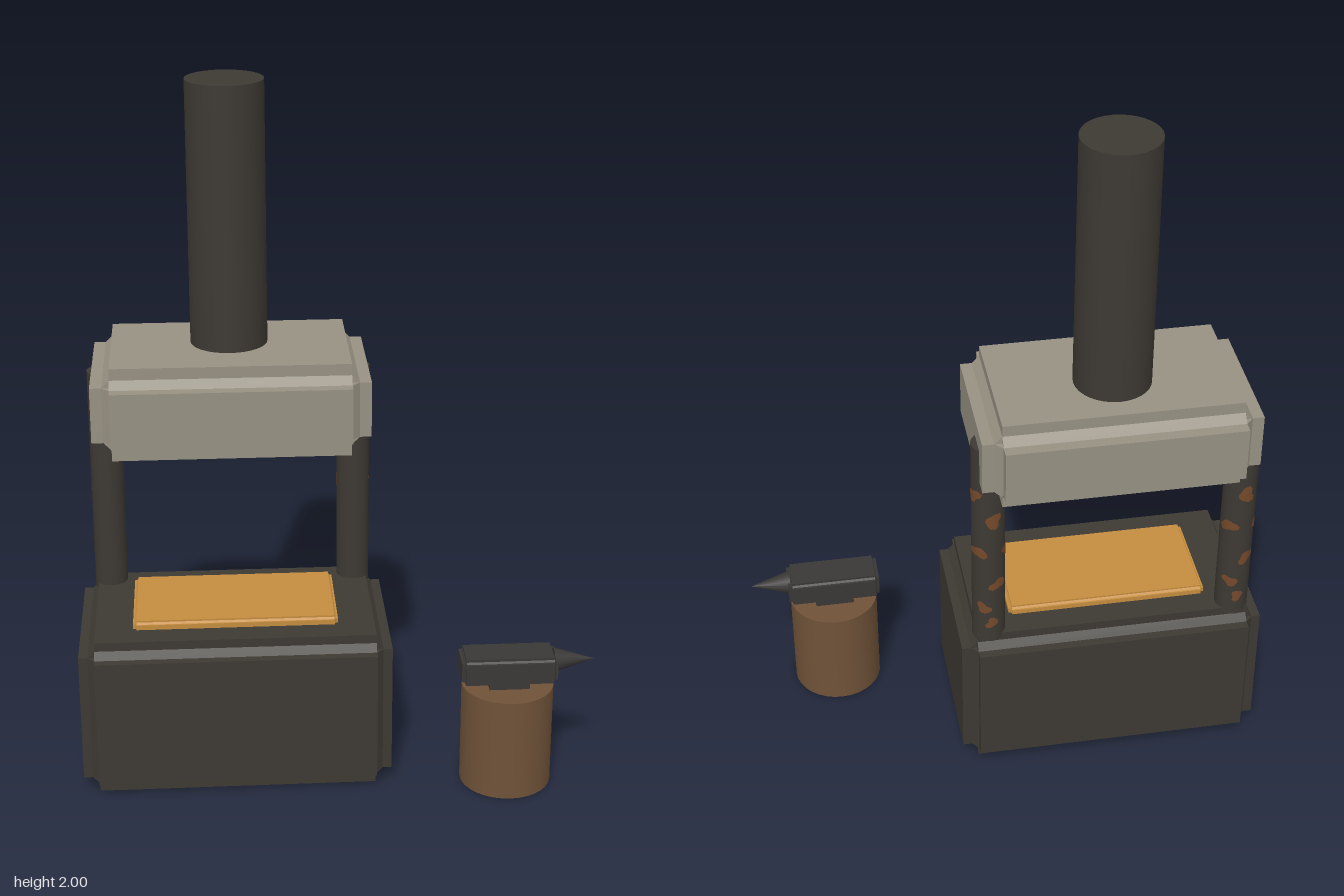
import * as THREE from 'three';
import { mergeGeometries } from 'three/addons/utils/BufferGeometryUtils.js';

const mat = (name, color, side = THREE.FrontSide) => {
  const m = new THREE.MeshStandardMaterial({ color, side });
  m.name = name;
  return m;
};

// Cross-shaped outline: a rectangle with notched, slightly filled corners
function notchedShape(w, h, b, c) {
  const X = w / 2, Y = h / 2, x = X - b, y = Y - b;
  const corner = [[X, y], [x + c, y], [x, y + c], [x, Y]];
  const pts = [];
  for (const [sx, sy] of [[1, 1], [-1, 1], [-1, -1], [1, -1]]) {
    const list = sx * sy > 0 ? corner : [...corner].reverse();
    for (const [px, py] of list) pts.push(new THREE.Vector2(px * sx, py * sy));
  }
  return new THREE.Shape(pts);
}

// Block with a raised panel on each face and grooves along every edge
function panelledBlock(w, h, d, b, c) {
  const prism = (a, e, depth) => new THREE.ExtrudeGeometry(notchedShape(a, e, b, c),
    { depth: depth - 2 * b, bevelEnabled: false }).translate(0, 0, b - depth / 2);
  return mergeGeometries([
    prism(w, h, d),
    prism(w, d, h).rotateX(-Math.PI / 2),
    prism(d, h, w).rotateY(Math.PI / 2),
  ]);
}

// Irregular patch wrapped around an upright cylinder of radius r
function rustPatch(r, angle, y, size, seed) {
  const g = new THREE.RingGeometry(0.0001, 1, 14, 4);
  const p = g.attributes.position;
  for (let i = 0; i < p.count; i++) {
    const t = Math.atan2(p.getY(i), p.getX(i));
    const k = size * (1 + 0.25 * Math.sin(2 * t + seed) + 0.2 * Math.sin(3 * t + seed * 2.3));
    const a = angle + (p.getX(i) * k * 1.2) / r;
    p.setXYZ(i, Math.sin(a) * r, y + p.getY(i) * k, Math.cos(a) * r);
  }
  g.computeVertexNormals();
  return g;
}

export function createModel() {
  const group = new THREE.Group();
  group.name = 'forge';
  const iron = mat('dark iron', 0x3d3933);
  const stone = mat('grey stone', 0x979182);
  const ember = mat('ember orange', 0xc48c3e);
  const wood = mat('brown wood', 0x6f5238);
  const steel = mat('anvil steel', 0x3a3836);
  const rust = mat('rust', 0x74492a, THREE.DoubleSide);

  const add = (name, geo, material, x, y, z, parent = group) => {
    const m = new THREE.Mesh(geo, material);
    m.name = name;
    m.position.set(x, y, z);
    parent.add(m);
    return m;
  };

  // Hearth, embers, hood and chimney
  add('hearth', panelledBlock(0.89, 0.477, 0.55, 0.046, 0.02), iron, -0.295, 0.2385, -0.011);
  add('emberBed', panelledBlock(0.585, 0.05, 0.31, 0.01, 0.005), ember, -0.293, 0.476, -0.011);
  add('hood', panelledBlock(0.777, 0.271, 0.5, 0.055, 0.022), stone, -0.293, 1.115, -0.096);
  add('chimney', new THREE.CylinderGeometry(0.109, 0.109, 0.76, 32), iron, -0.293, 1.62, -0.122);

  // Hood posts with rust patches, mostly on the back: [angle, height, size]
  const patches = [
    [2.0, 0.98, 0.021], [2.35, 0.785, 0.021], [2.7, 0.585, 0.018],
    [3.3, 0.9, 0.022], [3.6, 0.67, 0.02], [3.9, 1.02, 0.018], [4.3, 0.78, 0.018], [3.2, 0.53, 0.016],
  ];
  for (const [name, x] of [['leftPost', 0.066], ['rightPost', -0.656]]) {
    const post = new THREE.Group();
    post.name = name;
    post.position.set(x, 0, -0.204);
    group.add(post);
    add('postShaft', new THREE.CylinderGeometry(0.048, 0.048, 0.68, 24), iron, 0, 0.8, 0, post);
    const geos = patches.map(([a, y, s], i) => rustPatch(0.0492, a, y, s, i * 1.7 + x));
    add('postRust', mergeGeometries(geos), rust, 0, 0, 0, post);
  }

  // Anvil on a wooden stump
  const anvil = new THREE.Group();
  anvil.name = 'anvil';
  anvil.position.set(0.483, 0, 0.208);
  group.add(anvil);
  add('stump', new THREE.CylinderGeometry(0.132, 0.132, 0.308, 32), wood, 0, 0.154, 0, anvil);
  add('anvilFoot', new THREE.BoxGeometry(0.115, 0.035, 0.095), steel, 0, 0.319, 0, anvil);
  add('anvilBody', panelledBlock(0.276, 0.082, 0.12, 0.012, 0.005), steel, 0, 0.365, 0, anvil);
  const horn = add('anvilHorn', new THREE.ConeGeometry(0.036, 0.118, 16), steel, 0.19, 0.375, 0, anvil);
  horn.rotation.z = -Math.PI / 2;

  return group;
}
